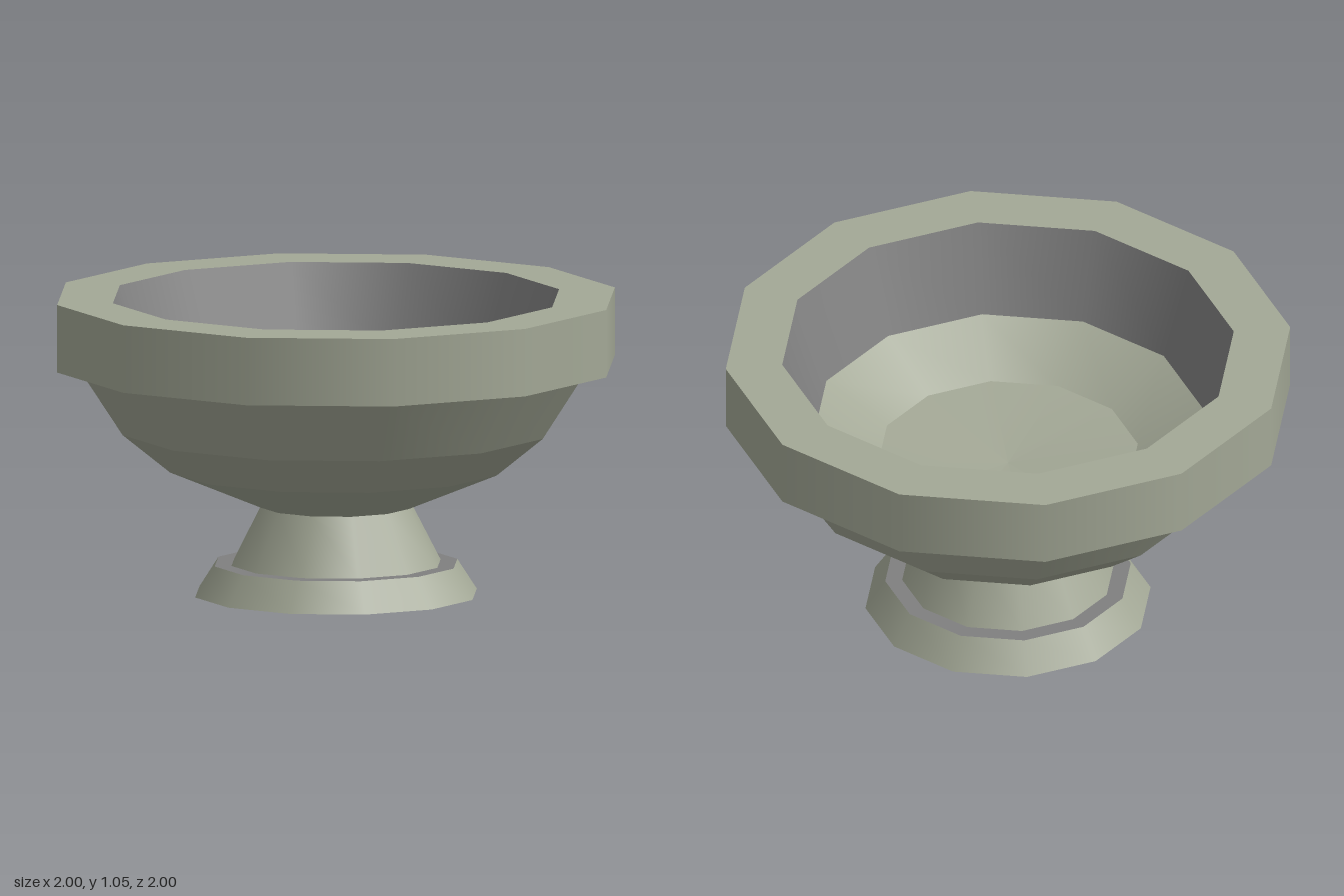
import * as THREE from 'three';

const SIDES = 12;

const stone = new THREE.MeshStandardMaterial({ color: 0xa3a896, side: THREE.DoubleSide });
stone.name = 'sage stone';
const trim = new THREE.MeshStandardMaterial({ color: 0x808080, side: THREE.DoubleSide });
trim.name = 'grey trim';

// One twelve-sided part per name; each pair of [radius, height] points is its own
// band, so shading is smooth around the bowl and sharp between bands.
function addBands(parent, name, material, profile) {
  const part = new THREE.Group();
  part.name = name;
  for (let i = 0; i < profile.length - 1; i++) {
    const points = [profile[i], profile[i + 1]].map(([r, y]) => new THREE.Vector2(r, y));
    const band = new THREE.Mesh(new THREE.LatheGeometry(points, SIDES), material);
    band.name = `${name}Band${i + 1}`;
    part.add(band);
  }
  parent.add(part);
}

export function createModel() {
  const model = new THREE.Group();
  model.name = 'pedestalBowl';

  // Hollow foot: flared base, grey ledge and tapered stem
  addBands(model, 'footBase', stone, [[0.505, 0], [0.435, 0.108]]);
  addBands(model, 'footLedge', trim, [[0.435, 0.108], [0.375, 0.108]]);
  addBands(model, 'stem', stone, [[0.375, 0.108], [0.27, 0.312]]);

  // Outer bowl in three widening bands
  addBands(model, 'outerBowl', stone, [[0.27, 0.312], [0.595, 0.447], [0.765, 0.585], [0.915, 0.815]]);

  // Thick overhanging rim: underside, side and top
  addBands(model, 'rim', stone, [[0.915, 0.815], [1, 0.815], [1, 1.055], [0.8, 1.055]]);

  // Grey inner wall, then the shallow basin
  addBands(model, 'innerWall', trim, [[0.8, 1.055], [0.69, 0.74]]);
  addBands(model, 'basin', stone, [[0.69, 0.74], [0.46, 0.61], [0, 0.57]]);

  return model;
}
